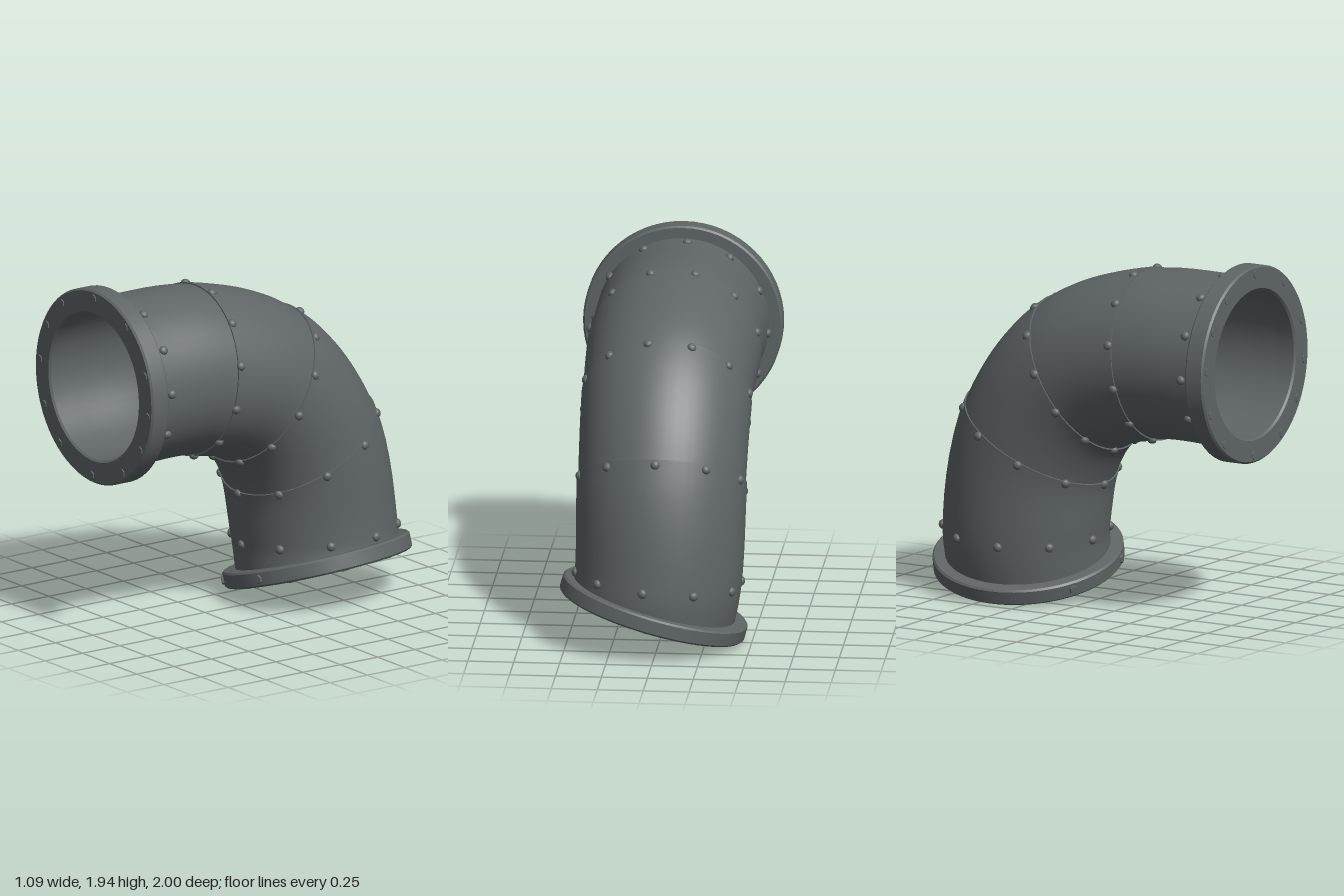
import * as THREE from 'three';
import { toCreasedNormals } from 'three/addons/utils/BufferGeometryUtils.js';

const V = (x, y, z) => new THREE.Vector3(x, y, z);
const UP = V(0, 1, 0);
const rad = THREE.MathUtils.degToRad;

// Key sections along the elbow: centre, direction and outer radius
const KEYS = [
  { c: V(0, 1.41, 0.985), d: V(0, 0, -1), r: 0.465 },
  { c: V(0, 1.41, 0.81), d: V(0, 0, -1), r: 0.465 },
  { c: V(0, 1.40, 0.37), d: V(0, -0.12, -0.99), r: 0.465 },
  { c: V(0, 1.25, -0.08), d: V(0, -0.5, -0.866), r: 0.455 },
  { c: V(0, 0.875, -0.37), d: V(0, -0.87, -0.49), r: 0.455 },
  { c: V(0.01, 0.36, -0.475), d: V(0.08, -1, -0.05), r: 0.45 },
  { c: V(0.04, 0.18, -0.478), d: V(0.27, -0.96, -0.07), r: 0.45 },
];
const INNER = 0.412;
const centres = new THREE.CatmullRomCurve3(KEYS.map((k) => k.c));
const directions = new THREE.CatmullRomCurve3(KEYS.map((k) => k.d));

// Frame of the pipe at key position k (0 to 6, fractions allowed)
function section(k) {
  const t = k / (KEYS.length - 1);
  const i = Math.min(Math.floor(k), KEYS.length - 2);
  const T = directions.getPoint(t).normalize();
  const S = V(1, 0, 0).addScaledVector(T, -T.x).normalize();
  return {
    C: centres.getPoint(t), S, U: S.clone().cross(T),
    r: THREE.MathUtils.lerp(KEYS[i].r, KEYS[i + 1].r, k - i),
  };
}

function around(s, r, a) {
  return s.C.clone().addScaledVector(s.S, r * Math.cos(a)).addScaledVector(s.U, r * Math.sin(a));
}

// Skin of rings; each ring is [key position, radius]
function skin(rings, inward) {
  const n = 56, pos = [], idx = [];
  for (const [k, r] of rings) {
    const s = section(k);
    for (let j = 0; j < n; j++) pos.push(...around(s, r, (j / n) * Math.PI * 2).toArray());
  }
  for (let i = 0; i < rings.length - 1; i++) {
    for (let j = 0; j < n; j++) {
      const a = i * n + j, b = i * n + ((j + 1) % n), c = a + n, d = b + n;
      if (inward) idx.push(a, b, c, b, d, c);
      else idx.push(a, c, b, b, c, d);
    }
  }
  const g = new THREE.BufferGeometry();
  g.setAttribute('position', new THREE.Float32BufferAttribute(pos, 3));
  g.setIndex(idx);
  return toCreasedNormals(g, rad(40));
}

export function createModel() {
  const model = new THREE.Group();
  model.name = 'pipeElbow';
  const iron = new THREE.MeshStandardMaterial({ color: 0x5f6565 });
  iron.name = 'dark iron';

  const add = (parent, name, geometry) => {
    const m = new THREE.Mesh(geometry, iron);
    m.name = name;
    parent.add(m);
    return m;
  };

  // Outer pipe sleeves, each stepping slightly over the next at its seams
  [[0, 2], [2, 3], [3, 4], [4, 6]].forEach(([a, b], i) => {
    const rings = [[a, section(a).r - 0.012]];
    const steps = 14;
    for (let j = 0; j <= steps; j++) {
      const u = j / steps, k = a + (b - a) * u;
      rings.push([k, section(k).r + 0.008 * (1 - u)]);
    }
    add(model, 'pipeSleeve' + (i + 1), skin(rings, false));
  });

  // Inner bore
  const bore = [];
  for (let i = 0; i <= 48; i++) bore.push([i / 8, INNER]);
  add(model, 'pipeBore', skin(bore, true));

  // Rows of domed rivets: key position, count, first angle
  const rivet = new THREE.SphereGeometry(0.026, 12, 8);
  const rows = [[1, 12, 4], [2.04, 12, 15], [3.04, 12, 20], [4.04, 10, 18], [5, 10, 12]];
  for (const [k, count, first] of rows) {
    const row = new THREE.Group();
    row.name = 'rivetRow';
    const s = section(k);
    for (let i = 0; i < count; i++) {
      const a = rad(first + (i * 360) / count);
      const m = add(row, 'rivet', rivet);
      m.position.copy(around(s, s.r + 0.005, a));
      m.quaternion.setFromUnitVectors(UP, m.position.clone().sub(s.C).normalize());
      m.scale.set(1, 0.8, 1);
    }
    model.add(row);
  }

  // Ring flange with hex bolts on its outer face; local +y points out of the pipe
  const bolt = toCreasedNormals(new THREE.CylinderGeometry(0.023, 0.026, 0.02, 6), rad(20));
  function flange(name, faceCentre, normal, outer, h, boltRadius, angles) {
    const g = new THREE.Group();
    g.name = name;
    const e = 0.01, inner = 0.408;
    const profile = [
      [inner, -h], [outer - e, -h], [outer, e - h], [outer, -e],
      [outer - e, 0], [inner + e, 0], [inner, -e], [inner, -h],
    ].map(([x, y]) => new THREE.Vector2(x, y));
    add(g, 'flangeRing', toCreasedNormals(new THREE.LatheGeometry(profile, 64), rad(30)));
    for (const deg of angles) {
      const a = rad(deg);
      add(g, 'flangeBolt', bolt).position.set(boltRadius * Math.cos(a), -0.004, -boltRadius * Math.sin(a));
    }
    g.position.copy(faceCentre);
    g.quaternion.setFromUnitVectors(UP, normal.clone().normalize());
    model.add(g);
    return g;
  }

  flange('frontFlange', V(0, 1.405, 0.995), V(0, 0, 1), 0.543, 0.115, 0.5,
    [90, 54, 20, -6, -31, -58, -92, -129, -156, 175, 150, 126]);

  const lower = flange('bottomFlange', V(0.047, 0.148, -0.48), V(0.27, -0.96, -0.07), 0.52, 0.09, 0.47,
    [10, 46, 82, 118, 154, 190, 226, 262, 298, 334]);

  // Two bolts on the front rim of the bottom flange
  lower.updateMatrix();
  const inverse = lower.matrix.clone().invert();
  for (const x of [-0.24, 0.17]) {
    const p = V(x, 0.18 + 0.28 * (x - 0.047), 0).applyMatrix4(inverse);
    const out = V(p.x, 0, p.z).normalize();
    const m = add(lower, 'rimBolt', bolt);
    m.position.copy(out).multiplyScalar(0.522).setY(-0.045);
    m.quaternion.setFromUnitVectors(UP, out);
  }
  return model;
}
